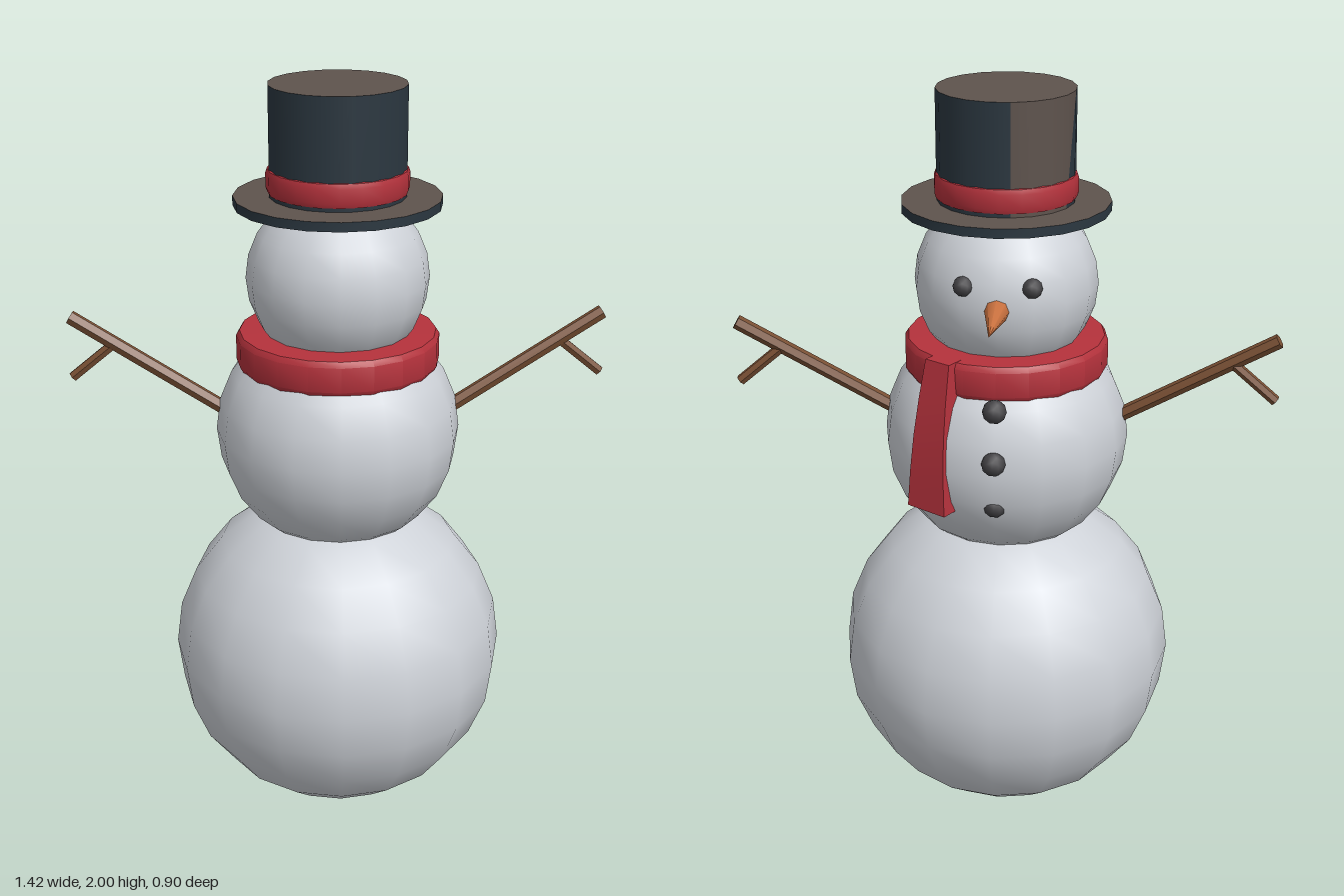
import * as THREE from 'three';
import { toCreasedNormals } from 'three/addons/utils/BufferGeometryUtils.js';

const mat = (name, color, flatShading = false) => {
  const m = new THREE.MeshStandardMaterial({ color, flatShading });
  m.name = name;
  return m;
};

export function createModel() {
  const model = new THREE.Group();
  model.name = 'snowman';
  const snow = mat('snow', 0xcdd1d7);
  const red = mat('red wool', 0xb5323c);
  const felt = mat('dark felt', 0x2b3740);
  const dusty = mat('brown felt', 0x5e534d);
  const wood = mat('wood', 0x7a5034);
  const carrot = mat('carrot', 0xc9713f);
  const coal = mat('coal', 0x444346);

  const add = (name, geometry, material, x = 0, y = 0, z = 0, parent = model) => {
    const mesh = new THREE.Mesh(geometry, material);
    mesh.name = name;
    mesh.position.set(x, y, z);
    parent.add(mesh);
    return mesh;
  };

  // Ring with a closed profile running outward along the bottom and back along the top
  const ring = (points, segments) => {
    const profile = points.map(([r, y]) => new THREE.Vector2(r, y));
    return toCreasedNormals(new THREE.LatheGeometry(profile, segments), 0.6);
  };

  // Straight stick between two points
  const stick = (name, from, to, radius, parent) => {
    const a = new THREE.Vector3(...from), b = new THREE.Vector3(...to);
    const dir = b.clone().sub(a);
    const geometry = toCreasedNormals(new THREE.CylinderGeometry(radius, radius, dir.length(), 6), 0.6);
    const mesh = add(name, geometry, wood, 0, 0, 0, parent);
    mesh.position.copy(a).add(b).multiplyScalar(0.5);
    mesh.quaternion.setFromUnitVectors(new THREE.Vector3(0, 1, 0), dir.normalize());
  };

  // Three snowballs
  add('lowerBody', new THREE.SphereGeometry(0.449, 16, 12), snow, 0, 0.449, 0);
  add('upperBody', new THREE.SphereGeometry(0.322, 16, 12), snow, 0, 1.09, 0);
  add('head', new THREE.SphereGeometry(0.237, 16, 12), snow, 0, 1.505, 0);

  // Top hat: brim, crown with a few worn panels, and band
  const hat = new THREE.Group();
  hat.name = 'hat';
  model.add(hat);
  const brim = toCreasedNormals(new THREE.CylinderGeometry(0.266, 0.266, 0.024, 20), 0.6);
  add('hatBrim', brim, [felt, dusty, felt], 0, 1.708, 0, hat);
  const crown = new THREE.CylinderGeometry(0.175, 0.175, 0.285, 20, 1, false, THREE.MathUtils.degToRad(9));
  crown.clearGroups();
  [[0, 60, 0], [60, 21, 1], [81, 39, 0], [120, 60, 1], [180, 60, 0]]
    .forEach(([start, count, index]) => crown.addGroup(start, count, index));
  add('hatCrown', crown, [felt, dusty], 0, 1.8575, 0, hat);
  add('hatBand', ring([[0.17, 1.728], [0.178, 1.73], [0.182, 1.742], [0.182, 1.778], [0.178, 1.79], [0.17, 1.793]], 20), red, 0, 0, 0, hat);

  // Scarf wrapped round the neck
  add('scarfWrap', ring([[0.17, 1.268], [0.256, 1.27], [0.265, 1.285], [0.265, 1.35], [0.256, 1.364], [0.17, 1.366]], 20), red);

  // Hanging scarf end, wider and further out at the bottom
  const tail = new THREE.BoxGeometry(1, 0.39, 0.05, 1, 4, 1);
  const p = tail.attributes.position;
  for (let i = 0; i < p.count; i++) {
    const t = 0.5 - p.getY(i) / 0.39;
    p.setX(i, p.getX(i) * (0.075 + 0.045 * t));
    p.setZ(i, p.getZ(i) + 0.255 + 0.055 * t + 0.012 * Math.sin(Math.PI * t));
  }
  add('scarfTail', toCreasedNormals(tail, 0.6), red, 0, 1.17, 0).rotation.y = Math.atan2(0.165, -0.265);

  // Face
  const nose = toCreasedNormals(new THREE.ConeGeometry(0.036, 0.21, 8), 0.9);
  add('nose', nose, carrot, 0, 1.5, -0.305).rotation.x = -Math.PI / 2;
  for (const s of [1, -1]) {
    add(s > 0 ? 'leftEye' : 'rightEye', new THREE.IcosahedronGeometry(0.026, 1), coal, s * 0.085, 1.555, -0.208);
  }

  // Coal buttons, the lowest nearly buried
  [[1.26, -0.29], [1.13, -0.318], [1.0, -0.286]].forEach(([y, z], i) =>
    add('button' + (i + 1), new THREE.IcosahedronGeometry(0.031, 1), coal, 0, y, z));

  // Stick arms, each with one twig
  for (const s of [1, -1]) {
    const arm = new THREE.Group();
    arm.name = s > 0 ? 'leftArm' : 'rightArm';
    model.add(arm);
    stick('branch', [s * 0.26, 1.12, 0], [s * 0.7, 1.385, -0.055], 0.019, arm);
    stick('twig', [s * 0.59, 1.312, -0.043], [s * 0.7, 1.22, -0.052], 0.014, arm);
  }

  return model;
}
